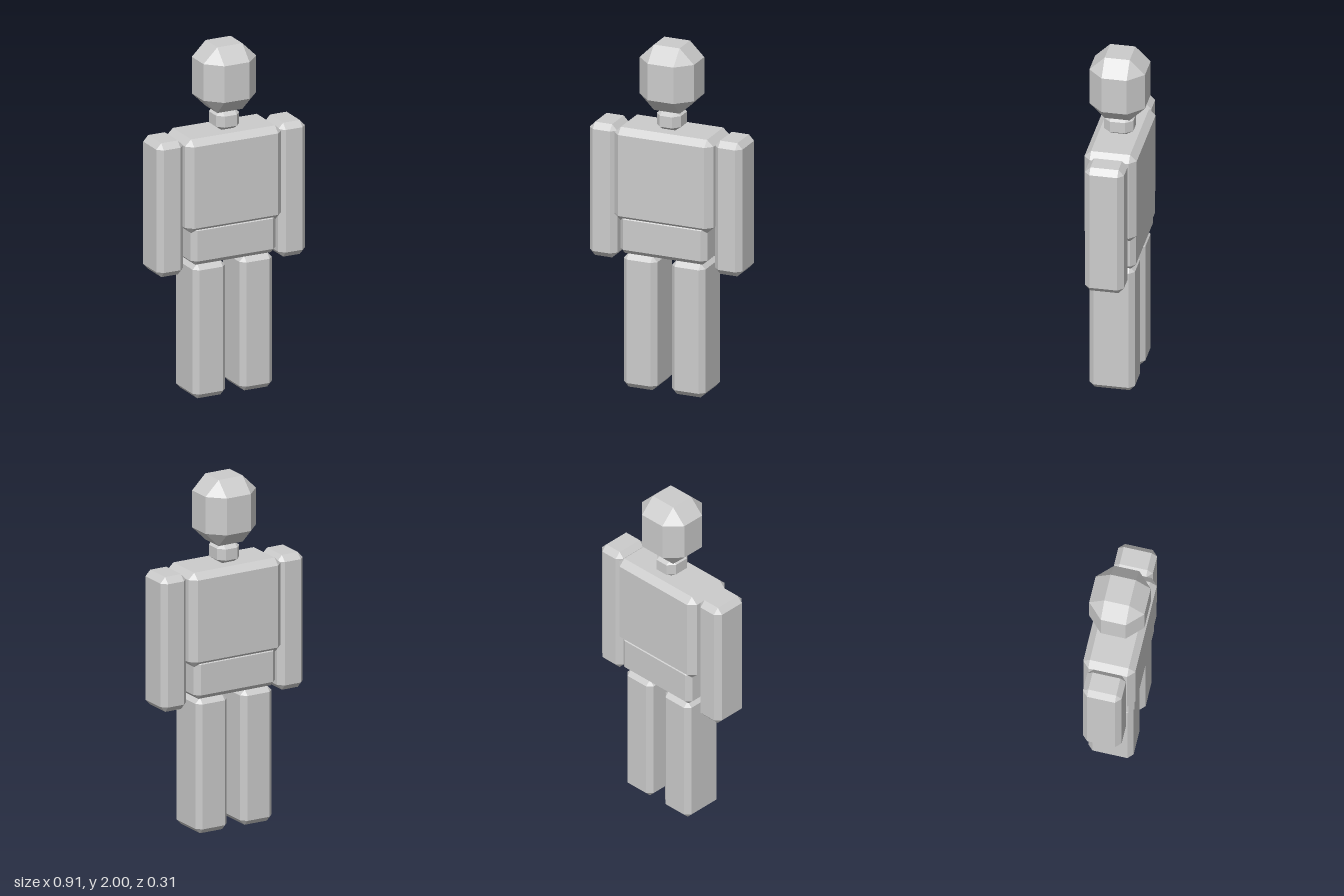
import * as THREE from 'three';
import { ConvexGeometry } from 'three/addons/geometries/ConvexGeometry.js';

// Box centred on the origin with bevelled edges and triangular corners.
function bevelledBox([w, h, d], [bx, by, bz]) {
  const points = [];
  for (const sx of [-1, 1]) for (const sy of [-1, 1]) for (const sz of [-1, 1]) {
    const x = w / 2, y = h / 2, z = d / 2;
    points.push(
      new THREE.Vector3(sx * x, sy * (y - by), sz * (z - bz)),
      new THREE.Vector3(sx * (x - bx), sy * y, sz * (z - bz)),
      new THREE.Vector3(sx * (x - bx), sy * (y - by), sz * z)
    );
  }
  return new ConvexGeometry(points);
}

export function createModel() {
  const model = new THREE.Group();
  model.name = 'blockFigure';
  const grey = new THREE.MeshStandardMaterial({ color: 0xcccccc, flatShading: true });
  grey.name = 'grey';

  // Places a bevelled block by its x centre, bottom and top.
  function block(name, x, bottom, top, width, depth, bevel) {
    const mesh = new THREE.Mesh(bevelledBox([width, top - bottom, depth], bevel), grey);
    mesh.name = name;
    mesh.position.set(x, (bottom + top) / 2, 0);
    model.add(mesh);
  }

  // Trunk and head
  block('head', 0, 1.62, 2.0, 0.324, 0.31, [0.085, 0.084, 0.085]);
  block('neck', 0, 1.508, 1.62, 0.144, 0.164, [0.035, 0.024, 0.04]);
  block('torso', 0, 0.965, 1.508, 0.592, 0.292, [0.038, 0.036, 0.037]);
  block('pelvis', 0, 0.778, 1.008, 0.522, 0.272, [0.029, 0.027, 0.028]);

  // Limbs, mirrored
  for (const [side, s] of [['left', 1], ['right', -1]]) {
    block(side + 'Arm', s * 0.375, 0.728, 1.503, 0.164, 0.218, [0.031, 0.033, 0.031]);
    block(side + 'Leg', s * 0.144, 0, 0.778, 0.2, 0.254, [0.029, 0.03, 0.029]);
  }
  return model;
}
